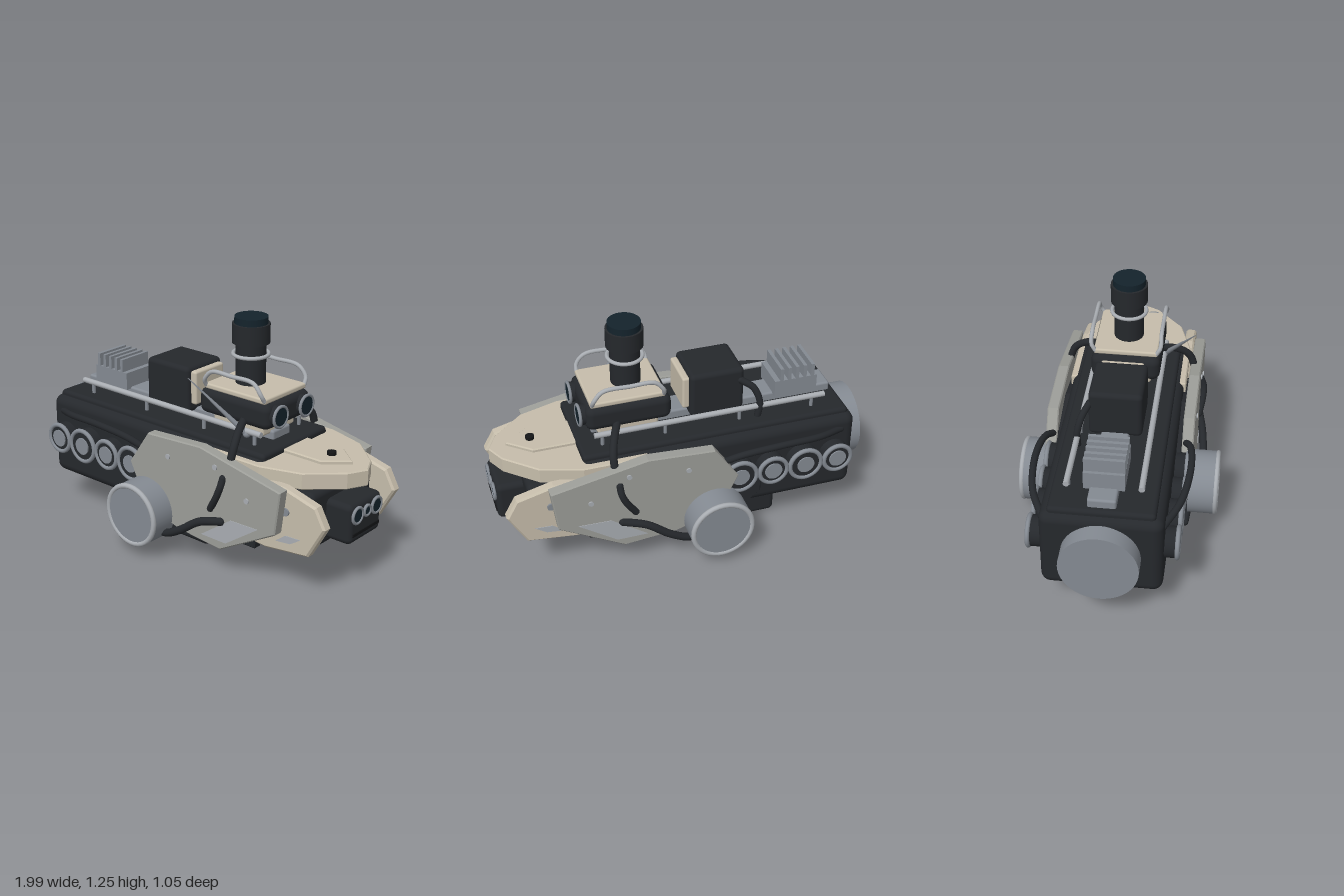
import * as THREE from 'three';
import { RoundedBoxGeometry } from 'three/addons/geometries/RoundedBoxGeometry.js';

const mat = (color) => new THREE.MeshStandardMaterial({ color });
const dark = mat(0x25282c), beige = mat(0xc6bdab), armor = mat(0x9c9d98);
const steel = mat(0x848a92), light = mat(0xa9adb2), glass = mat(0x14232c), black = mat(0x141517);

export function createModel() {
  const root = new THREE.Group();
  const add = (name, geo, m, x = 0, y = 0, z = 0) => {
    const mesh = new THREE.Mesh(geo, m);
    mesh.name = name;
    mesh.position.set(x, y, z);
    root.add(mesh);
    return mesh;
  };
  // box given by its min and max corners; r rounds the edges
  const box = (name, m, [x0, x1], [y0, y1], [z0, z1], r = 0) => {
    const s = [x1 - x0, y1 - y0, z1 - z0];
    const geo = r ? new RoundedBoxGeometry(...s, 3, r) : new THREE.BoxGeometry(...s);
    return add(name, geo, m, (x0 + x1) / 2, (y0 + y1) / 2, (z0 + z1) / 2);
  };
  // cylinder along a chosen axis
  const cyl = (name, m, r, h, axis, x, y, z, seg = 32) => {
    const geo = new THREE.CylinderGeometry(r, r, h, seg);
    if (axis === 'x') geo.rotateZ(-Math.PI / 2);
    if (axis === 'z') geo.rotateX(Math.PI / 2);
    return add(name, geo, m, x, y, z);
  };
  const ring = (name, m, r, t, axis, x, y, z) => {
    const geo = new THREE.TorusGeometry(r, t, 10, 36);
    if (axis === 'x') geo.rotateY(Math.PI / 2);
    if (axis === 'y') geo.rotateX(Math.PI / 2);
    return add(name, geo, m, x, y, z);
  };
  // capped tube through points
  const tube = (name, m, r, pts) => {
    const v = pts.map((p) => new THREE.Vector3(...p));
    add(name, new THREE.TubeGeometry(new THREE.CatmullRomCurve3(v), 28, r, 10), m);
    for (const p of [v[0], v[v.length - 1]]) add(name + 'End', new THREE.SphereGeometry(r, 10, 8), m, p.x, p.y, p.z);
  };
  const prism = (pts, depth, bevel = 0.006) => {
    const geo = new THREE.ExtrudeGeometry(new THREE.Shape(pts.map((p) => new THREE.Vector2(...p))), {
      depth: depth - 2 * bevel, bevelEnabled: bevel > 0, bevelSize: bevel, bevelOffset: -bevel, bevelThickness: bevel, bevelSegments: 1,
    });
    return geo.translate(0, 0, bevel);
  };
  // upright side plate between |z| = z0 and z1
  const plate = (name, m, side, pts, z0, z1, bevel) =>
    add(name, prism(pts, z1 - z0, bevel), m, 0, 0, side > 0 ? z0 : -z1);
  // flat plate drawn in x/z, hanging down from y1
  const slab = (name, m, pts, y0, y1) => {
    const outline = [...pts, ...pts.filter((p) => p[1] !== 0).reverse().map(([x, z]) => [x, -z])];
    add(name, prism(outline, y1 - y0).rotateX(Math.PI / 2), m, 0, y1, 0);
  };

  // hull
  box('hull', dark, [-0.91, 0.57], [0.19, 0.64], [-0.3, 0.3], 0.05);
  box('deck', dark, [-0.88, 0.55], [0.6, 0.665], [-0.26, 0.26], 0.02);
  box('bellyTank', dark, [-0.52, 0.13], [0.005, 0.155], [-0.19, 0.19], 0.03);
  box('bellyMount', black, [-0.4, 0.02], [0.14, 0.2], [-0.06, 0.06]);
  cyl('tailDrum', steel, 0.195, 0.12, 'x', -0.94, 0.41, 0, 48);

  // deck fittings
  box('spine', steel, [-0.85, 0.46], [0.65, 0.71], [-0.07, 0.07], 0.012);
  box('finBase', steel, [-0.76, -0.525], [0.7, 0.795], [-0.1, 0.1]);
  for (let i = 0; i < 5; i++) {
    const x = -0.735 + i * 0.043;
    box('coolingFin', steel, [x - 0.009, x + 0.009], [0.79, 0.865], [-0.1, 0.1]);
  }
  box('equipmentBox', dark, [-0.34, -0.05], [0.69, 0.94], [-0.135, 0.135], 0.025);
  box('equipmentFace', beige, [-0.055, -0.015], [0.74, 0.92], [-0.11, 0.11], 0.012);
  tube('equipmentCable', dark, 0.018, [[-0.32, 0.87, -0.13], [-0.38, 0.83, -0.16], [-0.41, 0.75, -0.18], [-0.4, 0.66, -0.18]]);

  // nose shield with a raised arrow panel
  slab('noseShield', beige, [[0.22, 0.31], [0.56, 0.31], [0.77, 0.245], [0.93, 0.1], [0.98, 0]], 0.545, 0.632);
  slab('arrowPanel', beige, [[0.45, 0.1], [0.77, 0.1], [0.89, 0]], 0.62, 0.65);
  cyl('nosePin', black, 0.023, 0.03, 'y', 0.765, 0.652, 0, 16);

  // nose head and lenses
  box('noseBlock', dark, [0.45, 0.84], [0.235, 0.54], [-0.255, 0.255], 0.035);
  box('snout', dark, [0.74, 0.98], [0.27, 0.48], [-0.135, 0.135], 0.03);
  box('snoutSlot', black, [0.97, 0.985], [0.312, 0.328], [-0.11, 0.11]);
  for (const [z, r] of [[-0.08, 0.04], [0, 0.026], [0.08, 0.04]]) {
    ring('noseLensRing', steel, r, 0.008, 'x', 0.985, 0.42, z);
    cyl('noseLens', glass, r, 0.02, 'x', 0.978, 0.42, z);
  }

  // sensor turret
  cyl('turretNeck', steel, 0.07, 0.08, 'y', 0.28, 0.68, 0);
  box('turretCollar', beige, [0.12, 0.44], [0.69, 0.76], [-0.13, 0.13], 0.015);
  box('turretHead', dark, [0.06, 0.505], [0.745, 0.88], [-0.18, 0.18], 0.04);
  box('turretRoof', beige, [0.09, 0.48], [0.878, 0.907], [-0.167, 0.167], 0.01);
  for (const z of [-0.105, 0.105]) {
    cyl('eyeBarrel', dark, 0.053, 0.05, 'x', 0.505, 0.815, z);
    ring('eyeRing', steel, 0.053, 0.008, 'x', 0.53, 0.815, z);
    cyl('eyeLens', glass, 0.047, 0.02, 'x', 0.524, 0.815, z);
  }
  cyl('periscopeTube', dark, 0.077, 0.24, 'y', 0.255, 1.01, 0);
  cyl('periscopeHead', dark, 0.096, 0.1, 'y', 0.255, 1.165, 0);
  cyl('periscopeCap', glass, 0.085, 0.04, 'y', 0.255, 1.23, 0);
  ring('periscopeRing', light, 0.09, 0.01, 'y', 0.255, 1.055, 0);

  // whip antenna
  const base = new THREE.Vector3(0.38, 0.71, 0.18), tip = new THREE.Vector3(0.15, 0.995, 0.355);
  const dir = tip.clone().sub(base);
  const whip = add('antenna', new THREE.CylinderGeometry(0.002, 0.015, dir.length(), 10), steel);
  whip.position.copy(base).addScaledVector(dir, 0.5);
  whip.quaternion.setFromUnitVectors(new THREE.Vector3(0, 1, 0), dir.clone().normalize());
  add('antennaBase', new THREE.SphereGeometry(0.02, 14, 10), steel, base.x, base.y, base.z);

  // mirrored flank parts
  for (const s of [1, -1]) {
    cyl('deckRail', light, 0.015, 1.24, 'x', -0.15, 0.725, s * 0.18, 12);
    for (const x of [-0.7, -0.3, 0.1, 0.43]) cyl('railPost', steel, 0.01, 0.08, 'y', x, 0.69, s * 0.18, 8);

    // exhaust ports
    for (let i = 0; i < 4; i++) {
      const x = -0.79 + i * 0.18, r = i % 2 ? 0.088 : 0.077;
      cyl('portBarrel', dark, r, 0.09, 'z', x, 0.43, s * 0.32);
      ring('portRing', steel, r - 0.002, 0.012, 'z', x, 0.43, s * 0.362);
      cyl('portCore', steel, 0.047, 0.02, 'z', x, 0.43, s * 0.362);
    }
    tube('flankHose', dark, 0.018, [[-0.83, 0.56, s * 0.29], [-0.68, 0.59, s * 0.36], [-0.45, 0.605, s * 0.39], [-0.25, 0.58, s * 0.375], [-0.15, 0.53, s * 0.34]]);

    // layered armour plates
    plate('backingPlate', dark, s, [[-0.38, 0.28], [-0.27, 0.19], [0.55, 0.19], [0.6, 0.5], [0.1, 0.6], [-0.2, 0.52], [-0.38, 0.42]], 0.27, 0.325);
    plate('nosePlate', beige, s, [[0.4, 0.23], [0.62, 0.22], [0.87, 0.25], [0.965, 0.42], [0.91, 0.52], [0.72, 0.57], [0.4, 0.57]], 0.265, 0.322, 0.01);
    plate('armorPlate', armor, s, [[-0.23, 0.46], [-0.13, 0.25], [0.1, 0.175], [0.38, 0.15], [0.72, 0.34], [0.75, 0.57], [0.25, 0.67], [-0.1, 0.65]], 0.325, 0.385);
    plate('armorInset', light, s, [[0.26, 0.2], [0.42, 0.2], [0.62, 0.34], [0.45, 0.335]], 0.38, 0.388, 0);
    plate('noseInset', light, s, [[0.68, 0.28], [0.77, 0.29], [0.83, 0.33], [0.74, 0.325]], 0.315, 0.325, 0);
    for (const [x, y] of [[0.04, 0.56], [0.35, 0.59], [0.55, 0.47]]) cyl('armorBolt', light, 0.014, 0.01, 'z', x, y, s * 0.387, 12);
    cyl('noseBolt', steel, 0.02, 0.016, 'z', 0.74, 0.45, s * 0.323, 16);
    tube('armorHandle', dark, 0.018, [[0.32, 0.36, s * 0.385], [0.37, 0.44, s * 0.4], [0.395, 0.5, s * 0.4], [0.4, 0.545, s * 0.385]]);

    // side drum
    cyl('sideDrum', steel, 0.168, 0.15, 'z', -0.105, 0.235, s * 0.445, 48);
    ring('drumRim', light, 0.158, 0.014, 'z', -0.105, 0.235, s * 0.513);

    // cables
    tube('drumCable', dark, 0.021, [[0.39, 0.31, s * 0.385], [0.27, 0.28, s * 0.41], [0.15, 0.2, s * 0.425], [0.05, 0.15, s * 0.42], [-0.02, 0.14, s * 0.4]]);
    tube('lowerCable', dark, 0.02, [[-0.04, 0.11, s * 0.4], [-0.14, 0.075, s * 0.37], [-0.24, 0.055, s * 0.36]]);
    tube('turretCable', dark, 0.02, [[0.35, 0.77, s * 0.17], [0.385, 0.745, s * 0.25], [0.41, 0.69, s * 0.315], [0.41, 0.6, s * 0.35]]);

    // turret grab bar
    tube('grabBar', light, 0.011, [[0.1, 0.895, s * 0.16], [0.105, 0.93, s * 0.18], [0.15, 0.98, s * 0.18], [0.28, 0.985, s * 0.18], [0.42, 0.98, s * 0.18], [0.465, 0.93, s * 0.18], [0.47, 0.895, s * 0.16]]);
  }
  return root;
}
